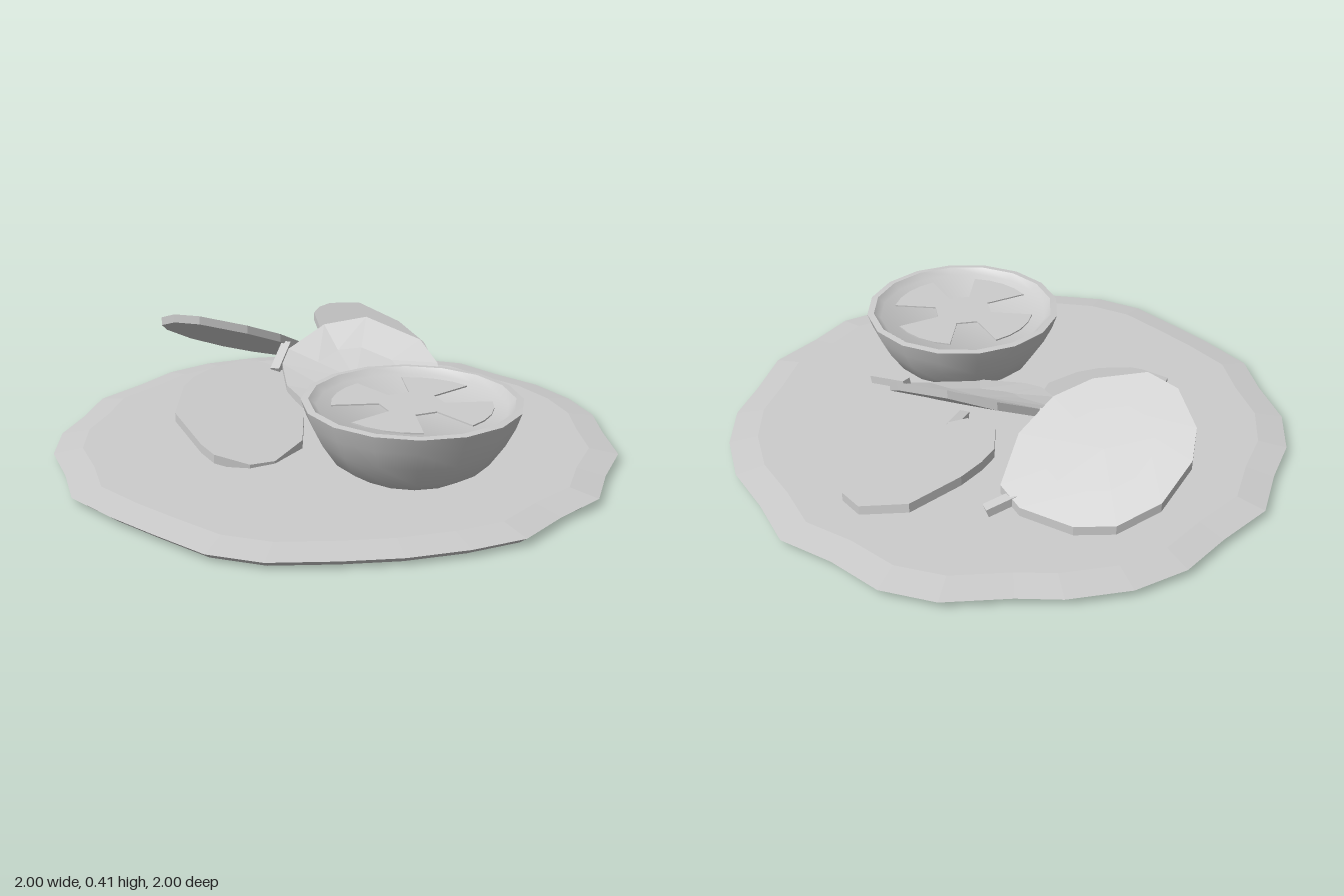
import * as THREE from 'three';
import { toCreasedNormals } from 'three/addons/utils/BufferGeometryUtils.js';

const flat = new THREE.MeshStandardMaterial({ color: 0xcccccc, flatShading: true });
const smooth = new THREE.MeshStandardMaterial({ color: 0xcccccc, side: THREE.DoubleSide });

function add(parent, name, geometry, material = flat) {
  const mesh = new THREE.Mesh(geometry, material);
  mesh.name = name;
  parent.add(mesh);
  return mesh;
}

// Skins rings of a flat outline [x, z], each scaled about the centre and given a height rule.
function skin(outline, rings) {
  const n = outline.length;
  const cx = outline.reduce((s, p) => s + p[0], 0) / n;
  const cz = outline.reduce((s, p) => s + p[1], 0) / n;
  const pos = [], index = [];
  for (const [scale, height] of rings) {
    for (const [px, pz] of outline) {
      const x = cx + (px - cx) * scale, z = cz + (pz - cz) * scale;
      pos.push(x, height(x, z), z);
    }
  }
  for (let r = 0; r < rings.length - 1; r++) {
    for (let i = 0; i < n; i++) {
      const a = r * n + i, b = r * n + (i + 1) % n;
      if (rings[r][0] > 0) index.push(a, a + n, b);
      if (rings[r + 1][0] > 0) index.push(b, a + n, b + n);
      else if (rings[r][0] === 0) continue;
    }
  }
  const g = new THREE.BufferGeometry();
  g.setAttribute('position', new THREE.Float32BufferAttribute(pos, 3));
  g.setIndex(index);
  const out = g.toNonIndexed();
  out.computeVertexNormals();
  return out;
}

// Leaf: a thin slab following a height rule, with a square stem between two points.
function leaf(parent, name, outline, top, stemFrom, stemTo) {
  const group = new THREE.Group();
  group.name = name;
  const low = (x, z) => top(x, z) - 0.032;
  add(group, 'blade', skin(outline, [[0, low], [0.55, low], [1, low], [1, top], [0.55, top], [0, top]]));
  const a = new THREE.Vector3(...stemFrom), b = new THREE.Vector3(...stemTo);
  const stem = add(group, 'stem', new THREE.BoxGeometry(0.035, 0.03, a.distanceTo(b)));
  stem.position.copy(a).lerp(b, 0.5);
  stem.lookAt(b);
  parent.add(group);
}

export function createModel() {
  const model = new THREE.Group();
  model.name = 'servingPlate';

  // Plate with an uneven rim and a shallow bevel
  const rim = [
    [-0.2, -1], [0, -0.985], [0.2, -1], [0.375, -0.915], [0.57, -0.84], [0.73, -0.72], [0.85, -0.57], [0.915, -0.4],
    [1, -0.21], [0.99, 0], [1, 0.19], [0.915, 0.37], [0.85, 0.55], [0.72, 0.68], [0.56, 0.8], [0.395, 0.89],
    [0.2, 0.98], [0.02, 1], [-0.18, 0.95], [-0.36, 0.9], [-0.555, 0.83], [-0.68, 0.69], [-0.83, 0.55], [-0.92, 0.375],
    [-0.95, 0.19], [-1, 0], [-0.95, -0.21], [-0.92, -0.4], [-0.83, -0.57], [-0.68, -0.72], [-0.555, -0.8], [-0.38, -0.94],
  ];
  add(model, 'plate', skin(rim, [
    [0, () => 0], [0.97, () => 0], [1, () => 0.025], [0.9, () => 0.04], [0, () => 0.04],
  ]));

  // Halved fruit: rounded shell with a narrow lip and a recessed cut face
  const fruit = new THREE.Group();
  fruit.name = 'halvedFruit';
  fruit.position.set(0.37, 0, 0.2);
  const profile = [
    [0, 0.04], [0.2, 0.04], [0.27, 0.085], [0.32, 0.16], [0.352, 0.225], [0.37, 0.28],
    [0.345, 0.282], [0.32, 0.26], [0, 0.26],
  ].map(p => new THREE.Vector2(...p));
  add(fruit, 'shell', toCreasedNormals(new THREE.LatheGeometry(profile, 16), 0.75), smooth);

  // Flared cross of four segments on the cut face
  const cross = new THREE.Shape();
  for (let k = 0; k < 4; k++) {
    const mid = k * Math.PI / 2;
    const at = (r, t) => [r * Math.cos(mid + t), r * Math.sin(mid + t)];
    cross[k ? 'lineTo' : 'moveTo'](...at(0.11, -0.42));
    for (let i = -2; i <= 2; i++) cross.lineTo(...at(0.27, i * 0.23));
    cross.lineTo(...at(0.11, 0.42));
  }
  const pulp = add(fruit, 'pulpSegments', new THREE.ExtrudeGeometry(cross, { depth: 0.006, bevelEnabled: false }));
  pulp.rotation.x = -Math.PI / 2;
  pulp.position.y = 0.259;
  model.add(fruit);

  // Leaves
  leaf(model, 'sideLeaf', [
    [-0.41, -0.56], [-0.31, -0.52], [-0.265, -0.35], [-0.3, -0.2], [-0.39, -0.1], [-0.55, -0.02],
    [-0.67, -0.04], [-0.79, -0.14], [-0.83, -0.24], [-0.81, -0.39], [-0.72, -0.5], [-0.6, -0.55],
  ], (x, z) => 0.42 + 0.5 * z, [-0.37, 0.14, -0.52], [-0.31, 0.11, -0.6]);

  leaf(model, 'backLeaf', [
    [-0.32, -0.63], [-0.31, -0.72], [-0.24, -0.88], [-0.06, -0.905], [0.08, -0.83], [0.18, -0.68],
    [0.2, -0.52], [0.12, -0.4], [-0.04, -0.33], [-0.18, -0.36], [-0.31, -0.55],
  ], x => 0.19 - 0.41 * x, [0, 0.17, -0.37], [0.04, 0.14, -0.24]);

  leaf(model, 'middleLeaf', [
    [-0.18, -0.35], [-0.03, -0.42], [0.2, -0.4], [0.29, -0.34], [0.37, -0.21], [0.31, -0.1],
    [0.16, 0.02], [-0.02, 0.05], [-0.1, 0.04], [-0.19, -0.02], [-0.26, -0.13], [-0.27, -0.21],
  ], (x, z) => 0.142 - 0.19 * x - 0.45 * z + 0.9 * ((z + 0.18) ** 2 - 0.03),
  [0.34, 0.14, -0.19], [0.51, 0.1, -0.18]);

  leaf(model, 'frontLeaf', [
    [-0.4, -0.1], [-0.33, -0.13], [-0.25, -0.13], [-0.16, -0.06], [-0.09, 0.05], [-0.03, 0.2], [-0.06, 0.36],
    [-0.12, 0.43], [-0.24, 0.46], [-0.3, 0.44], [-0.45, 0.35], [-0.5, 0.2], [-0.5, 0.13], [-0.47, 0.02],
  ], (x, z) => 0.1 - 0.29 * x - 0.19 * z, [-0.28, 0.2, -0.11], [-0.29, 0.27, -0.24]);

  return model;
}
